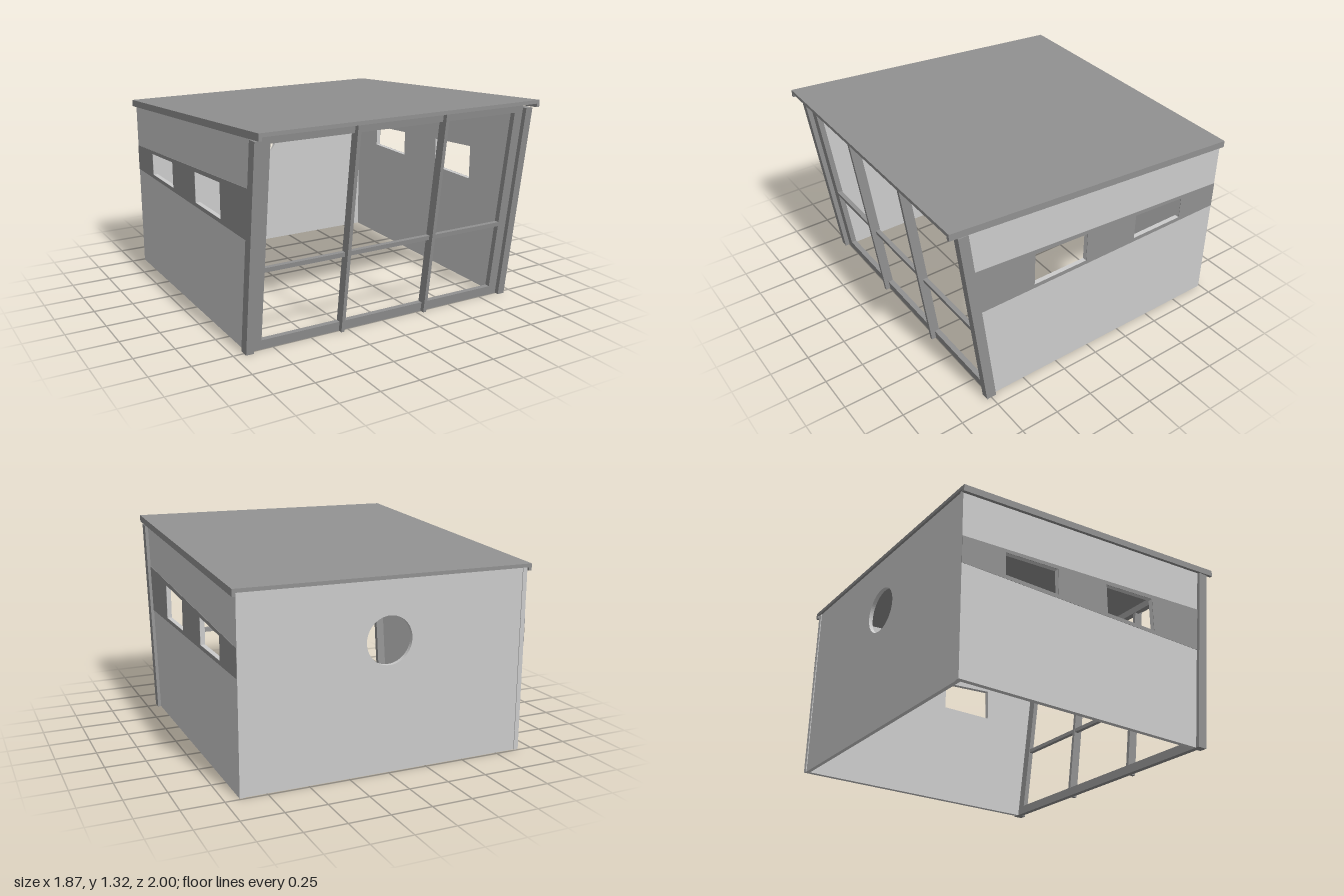
import * as THREE from 'three';

const light = new THREE.MeshStandardMaterial({ color: 0xcccccc });
const dark = new THREE.MeshStandardMaterial({ color: 0x919191 });

const ROOF_SLOPE = 0.0765;
const LEAN = 0.13; // forward lean of the front, z per unit of height
const roofTop = z => 1.2475 + ROOF_SLOPE * z;
const plateBottom = z => roofTop(z) - 0.022;
const rimBottom = z => roofTop(z) - 0.043;

export function createModel() {
  const group = new THREE.Group();

  const path = (points, Type = THREE.Shape) => new Type(points.map(p => new THREE.Vector2(...p)));

  // Extrudes a side profile of [z, y] points along x, from x0 to x1
  function addProfile(name, points, x0, x1, material, holes = []) {
    const shape = path(points);
    holes.forEach(h => shape.holes.push(path(h, THREE.Path)));
    const geo = new THREE.ExtrudeGeometry(shape, { depth: x1 - x0, bevelEnabled: false });
    geo.rotateY(-Math.PI / 2).translate(x1, 0, 0);
    const mesh = new THREE.Mesh(geo, material);
    mesh.name = name;
    group.add(mesh);
  }

  // Same profile on both sides, x given for the left (+x) one
  function addPair(name, points, x0, x1, material, holes) {
    addProfile(name + 'Left', points, x0, x1, material, holes);
    addProfile(name + 'Right', points, -x1, -x0, material, holes);
  }

  // Leaning bar of the front: z0..z1 is its depth at ground level
  function leaning(z0, z1, y0, y1) {
    const end = z => y1 ?? (plateBottom(0) + ROOF_SLOPE * z) / (1 - ROOF_SLOPE * LEAN);
    const a = end(z0), b = end(z1);
    return [[z0 + LEAN * y0, y0], [z1 + LEAN * y0, y0], [z1 + LEAN * b, b], [z0 + LEAN * a, a]];
  }

  // Sloped roof plate with a rim hanging down along each side
  addProfile('roofPlate',
    [[-1, plateBottom(-1)], [1, plateBottom(1)], [1, roofTop(1)], [-1, roofTop(-1)]],
    -0.935, 0.935, dark);
  addPair('roofRim',
    [[-1, rimBottom(-1)], [1, rimBottom(1)], [1, plateBottom(1)], [-1, plateBottom(-1)]],
    0.915, 0.935, dark);

  // Side walls with two windows each, whose heads follow the roof
  const windowHead = z => 0.897 + 0.068 * z;
  const windows = [[0.05, 0.43], [-0.7, -0.325]].map(([a, b]) =>
    [[a, 0.705], [b, 0.705], [b, windowHead(b)], [a, windowHead(a)]]);
  const topZ = 0.883;
  addPair('sideWall',
    [[-0.99, 0], [0.715, 0], [topZ, plateBottom(topZ)], [-0.99, plateBottom(-0.99)]],
    0.883, 0.912, light, windows);

  // Dark window band on the outside of each side wall
  const bandTop = z => 0.923 + 0.0735 * z;
  addPair('windowBand',
    [[-0.99, 0.68], [0.715 + LEAN * 0.68, 0.68], [0.843, bandTop(0.843)], [-0.99, bandTop(-0.99)]],
    0.912, 0.914, dark, windows);

  // Back wall with a round window
  const backTop = plateBottom(-0.985);
  const back = path([[-0.883, 0], [0.883, 0], [0.883, backTop], [-0.883, backTop]]);
  back.holes.push(new THREE.Path().absarc(0, 0.795, 0.145, 0, Math.PI * 2, true));
  const backGeo = new THREE.ExtrudeGeometry(back, { depth: 0.025, bevelEnabled: false, curveSegments: 32 });
  const backWall = new THREE.Mesh(backGeo, light);
  backWall.name = 'backWall';
  backWall.position.z = -0.985;
  group.add(backWall);

  // Leaning corner posts
  addPair('cornerPost', leaning(0.715, 0.78, 0, 1.268), 0.885, 0.933, dark);

  // Front frame: jambs, sill, head and cross rail
  addPair('frontJamb', leaning(0.715, 0.75, 0), 0.825, 0.885, dark);
  addProfile('frontSill', leaning(0.715, 0.75, 0, 0.06), -0.825, 0.825, dark);
  addProfile('frontHead', leaning(0.715, 0.75, 1.24), -0.825, 0.825, dark);
  addProfile('crossRail', leaning(0.72, 0.75, 0.49, 0.518), -0.825, 0.825, dark);

  // Two mullions standing proud of the frame
  addPair('mullion', leaning(0.718, 0.78, 0), 0.287, 0.309, dark);

  return group;
}
